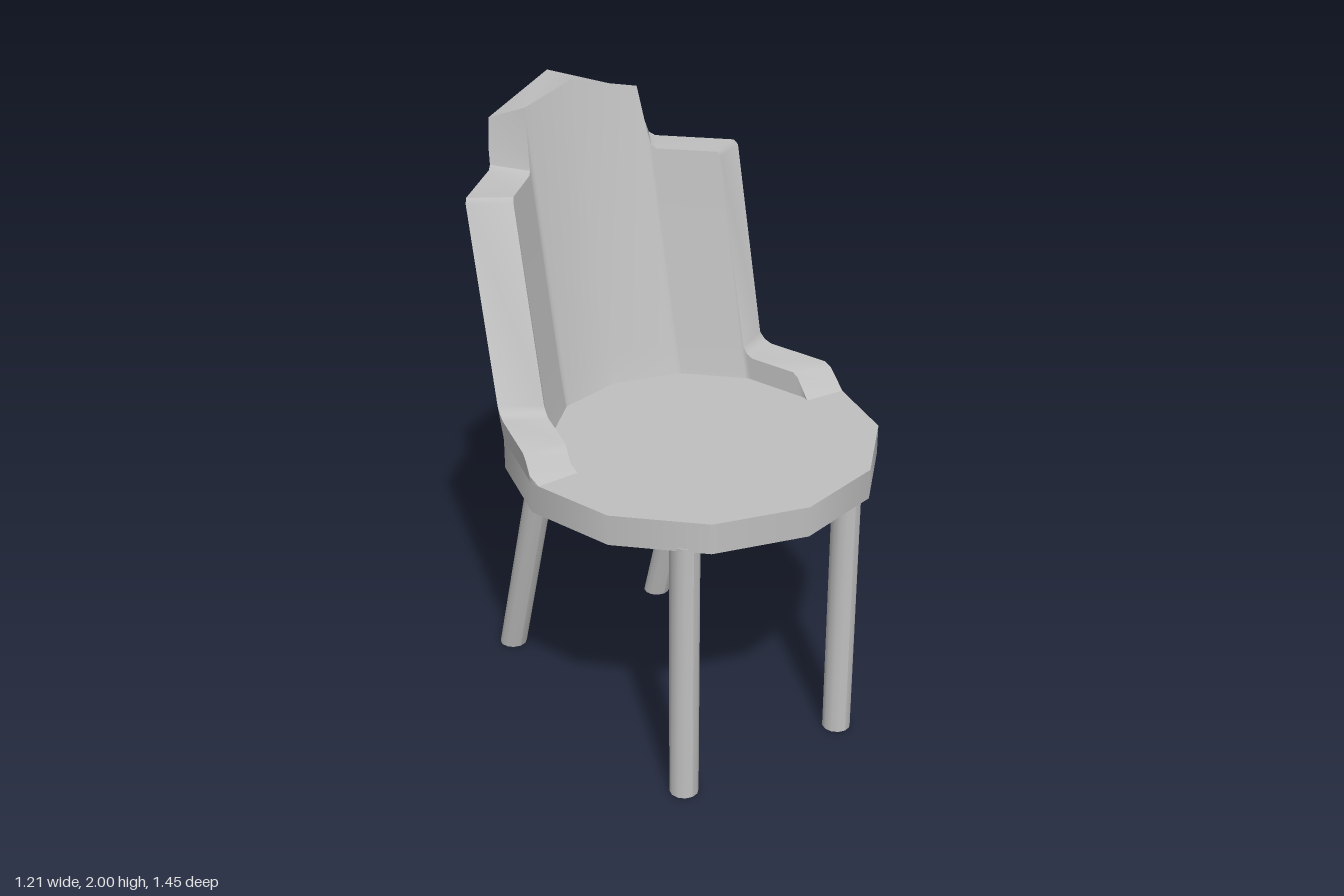
import * as THREE from 'three';
import { toCreasedNormals } from 'three/addons/utils/BufferGeometryUtils.js';

const SIDES = 12, CENTER_Z = 0.115, OUTER = 0.605, INNER = 0.458;
const SEAT_TOP = 1.0, KINK = 1.1;

// How far the backrest leans to the rear at a given height
function lean(y) {
  return y < KINK ? 0.3 * (y - SEAT_TOP) : 0.03 + 0.228 * (y - KINK);
}

// Point on the twelve-sided ring, at an angle in degrees measured from the rear
function ringPoint(deg, radius, y) {
  const step = 360 / SIDES;
  const k = Math.floor(deg / step), t = deg / step - k;
  const a = THREE.MathUtils.degToRad(k * step), b = THREE.MathUtils.degToRad((k + 1) * step);
  const x = radius * THREE.MathUtils.lerp(Math.sin(a), Math.sin(b), t);
  const z = -radius * THREE.MathUtils.lerp(Math.cos(a), Math.cos(b), t);
  return new THREE.Vector3(x, y, z + CENTER_Z - lean(y));
}

// Curved backrest and arms: [angle, inner top height, outer top height]
function backrestGeometry() {
  const half = [
    [28, 1.96, 1.91], [30, 1.81, 1.81], [31, 1.768, 1.768], [33, 1.757, 1.757],
    [58.8, 1.757, 1.757], [60, 1.742, 1.742], [60, 1.105, 1.105],
    [61.5, 1.085, 1.085], [64, 1.075, 1.075], [86, 1.075, 1.075],
    [88, 1.062, 1.062], [90, 1.022, 1.022], [93, 1.0, 1.0],
  ];
  const mirrored = half.map(([d, i, o]) => [-d, i, o]).reverse();
  const sections = [...mirrored, [0, 2, 2], ...half].map(([deg, yi, yo]) => [
    ringPoint(deg, INNER, SEAT_TOP),
    ringPoint(deg, INNER, Math.min(KINK, yi)),
    ringPoint(deg, INNER, yi),
    ringPoint(deg, OUTER, yo),
    ringPoint(deg, OUTER, Math.min(KINK, yo)),
    ringPoint(deg, OUTER, SEAT_TOP),
  ]);

  const positions = [];
  const addTriangle = (a, b, c) => {
    if (new THREE.Triangle(a, b, c).getArea() < 1e-7) return;
    for (const p of [a, b, c]) positions.push(p.x, p.y, p.z);
  };
  for (let i = 0; i < sections.length - 1; i++) {
    for (let k = 0; k < 5; k++) {
      const a = sections[i][k], b = sections[i + 1][k];
      const c = sections[i + 1][k + 1], d = sections[i][k + 1];
      addTriangle(a, b, c);
      addTriangle(a, c, d);
    }
  }
  const geometry = new THREE.BufferGeometry();
  geometry.setAttribute('position', new THREE.Float32BufferAttribute(positions, 3));
  return toCreasedNormals(geometry, THREE.MathUtils.degToRad(35));
}

// Round leg whose ends stay level while its foot is slid back
function legGeometry(footShift) {
  const height = 0.91;
  const geometry = new THREE.CylinderGeometry(0.047, 0.047, height, 12);
  geometry.translate(0, height / 2, 0);
  const p = geometry.attributes.position;
  for (let i = 0; i < p.count; i++) {
    p.setZ(i, p.getZ(i) - footShift * (1 - p.getY(i) / height));
  }
  geometry.computeVertexNormals();
  return geometry;
}

export function createModel() {
  const model = new THREE.Group();
  model.name = 'chair';
  const grey = new THREE.MeshStandardMaterial({ color: 0xbfbfbf });
  grey.name = 'light grey';

  const add = (name, geometry, x = 0, y = 0, z = 0) => {
    const mesh = new THREE.Mesh(geometry, grey);
    mesh.name = name;
    mesh.position.set(x, y, z);
    model.add(mesh);
  };

  // Seat
  add('seat', new THREE.CylinderGeometry(OUTER, OUTER, 0.1, SIDES), 0, 0.95, CENTER_Z);

  // Backrest with low arms
  add('backrest', backrestGeometry());

  // Legs: straight in front, raked at the rear
  for (const [side, x] of [['Left', 0.29], ['Right', -0.335]]) {
    add('front' + side + 'Leg', legGeometry(0), x, 0, 0.547);
    add('rear' + side + 'Leg', legGeometry(0.28), x, 0, -0.238);
  }
  return model;
}
